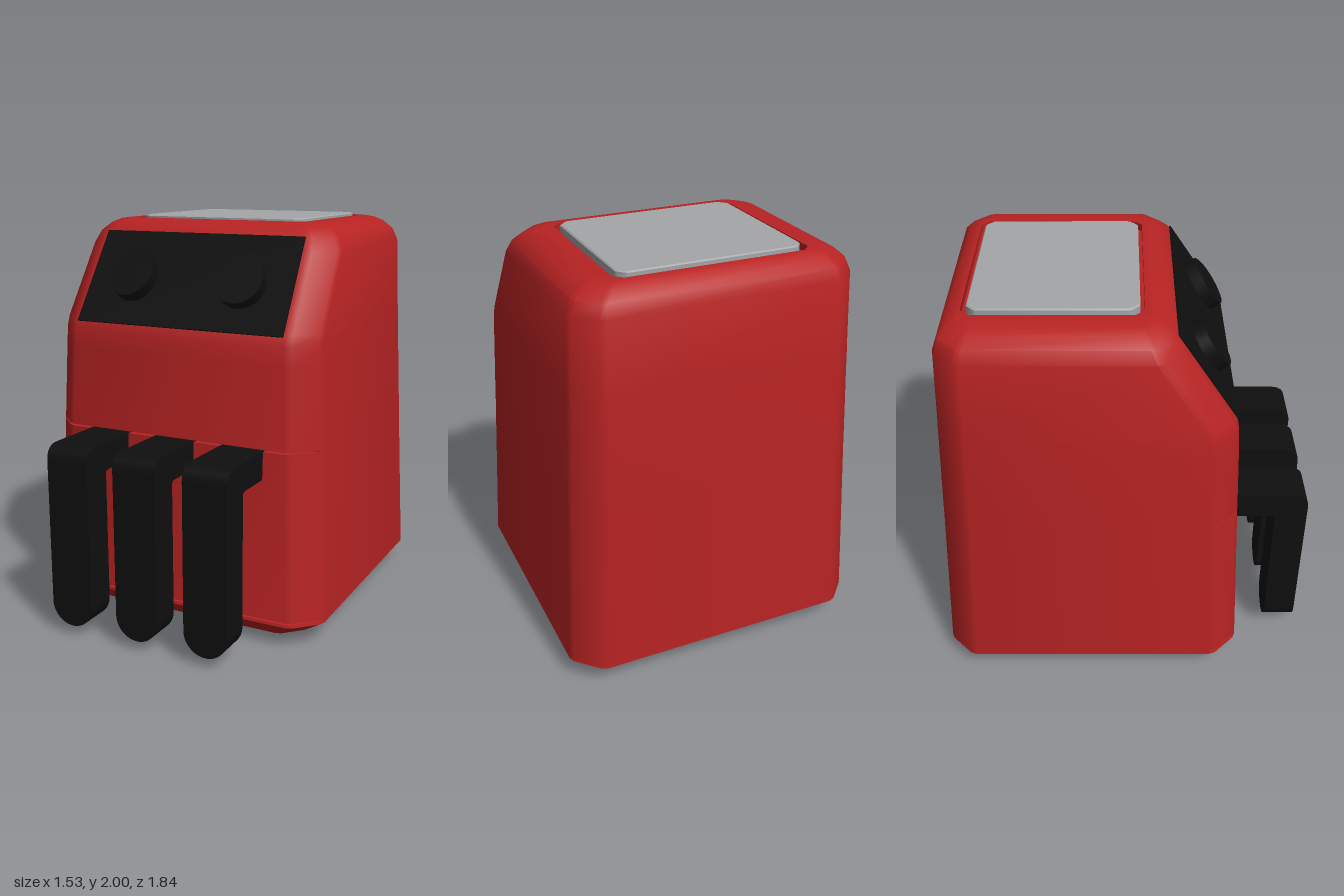
import * as THREE from 'three';
import { toCreasedNormals } from 'three/addons/utils/BufferGeometryUtils.js';

const red = new THREE.MeshStandardMaterial({ name: 'redShell', color: 0xb82323 });
const black = new THREE.MeshStandardMaterial({ name: 'blackPlastic', color: 0x0f0f0f });
const grey = new THREE.MeshStandardMaterial({ name: 'greyLid', color: 0xa4a6a8 });

const mesh = (name, geometry, material) => {
  const m = new THREE.Mesh(geometry, material);
  m.name = name;
  return m;
};

// Horizontal outline with softened, chamfered corners, anticlockwise from above
const CORNER = [[1.15, 0], [0.9, 0.1], [0.1, 0.9], [0, 1.15]];
function ring([y, hx, zf, zb, c, maxZ = 9]) {
  const points = [];
  for (const [sx, sz] of [[1, 1], [1, -1], [-1, -1], [-1, 1]]) {
    const offsets = sx * sz > 0 ? CORNER : [...CORNER].reverse();
    for (const [ox, oz] of offsets) {
      const z = sz > 0 ? zf - oz * c : zb + oz * c;
      points.push([sx * (hx - ox * c), y, Math.min(z, maxZ)]);
    }
  }
  return points;
}

// Skin a stack of rings and close both ends
function loft(sections) {
  const rings = sections.map(ring);
  const n = rings[0].length;
  const index = [];
  for (let i = 0; i < rings.length - 1; i++) {
    for (let j = 0; j < n; j++) {
      const a = i * n + j, b = i * n + (j + 1) % n;
      index.push(a, b, b + n, a, b + n, a + n);
    }
  }
  const top = (rings.length - 1) * n;
  for (let j = 1; j < n - 1; j++) {
    index.push(0, j + 1, j, top, top + j, top + j + 1);
  }
  const g = new THREE.BufferGeometry();
  g.setAttribute('position', new THREE.Float32BufferAttribute(rings.flat(2), 3));
  g.setIndex(index);
  return toCreasedNormals(g, 0.55);
}

// Seam cut into the front only: same outline, pulled back to a fixed depth
const seam = (y, h, hx, zf, zb, c) => [
  [y, hx, zf, zb, c], [y, hx, zf, zb, c, 0.45],
  [y + h, hx, zf, zb, c, 0.45], [y + h, hx, zf, zb, c],
];

function makeBody() {
  return mesh('body', loft([
    [0, 0.605, 0.44, -0.78, 0.1],
    [0.014, 0.645, 0.475, -0.815, 0.105],
    [0.11, 0.765, 0.587, -0.92, 0.125],
    ...seam(0.124, 0.009, 0.764, 0.586, -0.919, 0.125),
    ...seam(0.955, 0.009, 0.729, 0.55, -0.882, 0.125),
    [1.36, 0.712, 0.533, -0.864, 0.122],
    [1.45, 0.708, 0.526, -0.86, 0.12],
    [1.5, 0.706, 0.51, -0.857, 0.12],
    [1.86, 0.691, 0.274, -0.841, 0.115],
    [1.92, 0.665, 0.235, -0.82, 0.105],
    [1.96, 0.62, 0.195, -0.785, 0.095],
    [1.98, 0.575, 0.155, -0.75, 0.08],
    [1.986, 0.53, 0.12, -0.735, 0.06],
    // recess round the lid
    [1.986, 0.475, 0.09, -0.725, 0.04],
    [1.95, 0.475, 0.09, -0.725, 0.04],
  ]), red);
}

// Sloping control panel with two knobs, built flat and then tilted
function makeControls() {
  const group = new THREE.Group();
  group.name = 'controls';
  const plate = new THREE.Shape([
    [-0.56, -0.257], [0.56, -0.257], [0.545, 0.257], [-0.545, 0.257],
  ].map(([x, y]) => new THREE.Vector2(x, y)));
  group.add(mesh('controlPanel',
    new THREE.ExtrudeGeometry(plate, { depth: 0.008, bevelEnabled: false }), black));

  const round = new THREE.CylinderGeometry(0.115, 0.12, 0.064, 40).rotateX(Math.PI / 2);
  const roundKnob = mesh('rightKnob', round, black);
  roundKnob.scale.y = 1.12;
  roundKnob.position.set(-0.295, 0, 0.034);

  const drop = new THREE.Shape();
  drop.moveTo(0, 0.145);
  drop.bezierCurveTo(0.05, 0.13, 0.12, 0.06, 0.12, -0.015);
  drop.absarc(0, -0.015, 0.12, 0, Math.PI, true);
  drop.bezierCurveTo(-0.12, 0.06, -0.05, 0.13, 0, 0.145);
  const dropKnob = mesh('leftKnob',
    new THREE.ExtrudeGeometry(drop, { depth: 0.064, bevelEnabled: false, curveSegments: 20 }), black);
  dropKnob.position.set(0.295, 0, 0.002);

  group.add(roundKnob, dropKnob);
  group.position.set(0, 1.708, 0.375);
  group.rotation.x = -0.58;
  return group;
}

// Bent spout: an L-shaped arm with a half-round tip
function makeSpout(name, x) {
  const group = new THREE.Group();
  group.name = name;
  const w = 0.225, r = w / 2, tipY = 0.05 + r;

  const arm = new THREE.Shape();
  arm.moveTo(0.5, 0.957);
  arm.lineTo(0.84, 0.957);
  arm.quadraticCurveTo(0.92, 0.957, 0.92, 0.88);
  arm.lineTo(0.92, tipY);
  arm.lineTo(0.76, tipY);
  arm.lineTo(0.76, 0.8);
  arm.quadraticCurveTo(0.76, 0.82, 0.74, 0.82);
  arm.lineTo(0.5, 0.82);
  const armGeometry = new THREE.ExtrudeGeometry(arm, { depth: w, bevelEnabled: false, curveSegments: 10 });
  armGeometry.translate(0, 0, -r).rotateY(-Math.PI / 2);
  group.add(mesh('spoutArm', toCreasedNormals(armGeometry, 0.6), black));

  const tip = new THREE.Shape();
  tip.absarc(0, tipY, r, Math.PI, Math.PI * 2, false);
  const tipGeometry = new THREE.ExtrudeGeometry(tip, { depth: 0.16, bevelEnabled: false, curveSegments: 20 });
  tipGeometry.translate(0, 0, 0.76);
  group.add(mesh('spoutTip', toCreasedNormals(tipGeometry, 0.6), black));

  group.position.x = x;
  return group;
}

export function createModel() {
  const model = new THREE.Group();
  model.name = 'dispenser';
  model.add(makeBody(), makeControls());

  // Lid set into the top recess
  model.add(mesh('lid', loft([
    [1.94, 0.45, 0.07, -0.7, 0.04],
    [1.994, 0.45, 0.07, -0.7, 0.04],
    [2, 0.444, 0.064, -0.694, 0.04],
  ]), grey));

  ['rightSpout', 'middleSpout', 'leftSpout'].forEach((name, i) => {
    model.add(makeSpout(name, (i - 1) * 0.368));
  });
  return model;
}
